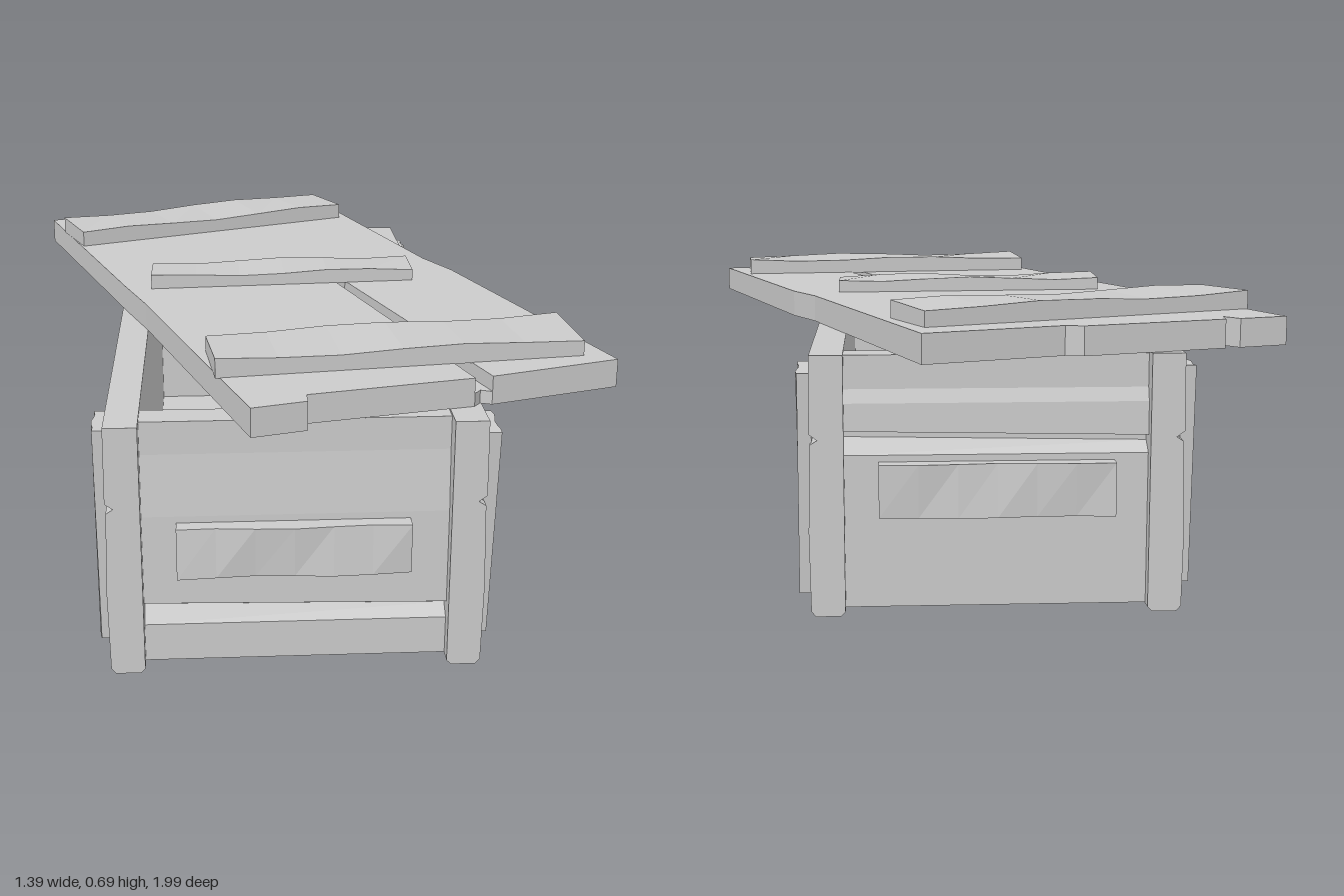
import * as THREE from 'three';

const mat = new THREE.MeshStandardMaterial({ color: 0xcccccc, flatShading: true });

function add(group, name, geo) {
  const mesh = new THREE.Mesh(geo, mat);
  mesh.name = name;
  group.add(mesh);
  return mesh;
}

const extrude = (pts, depth) => new THREE.ExtrudeGeometry(
  new THREE.Shape(pts.map(([x, y]) => new THREE.Vector2(x, y))),
  { depth, bevelEnabled: false });

// Horizontal slab from an [x, z] outline
const slab = (pts, y0, y1) => extrude(pts.map(([x, z]) => [x, -z]), y1 - y0)
  .rotateX(-Math.PI / 2).translate(0, y0, 0);

// Worn board on four base corners, counter-clockwise seen from outside
function board(corners, thickness, wear) {
  const [a, b, c, d] = corners.map(p => new THREE.Vector3(...p));
  const n = b.clone().sub(a).cross(d.clone().sub(a)).normalize();
  const geo = new THREE.BoxGeometry(1, 1, 1, 6, 1, 1);
  const pos = geo.attributes.position;
  for (let i = 0; i < pos.count; i++) {
    const u = pos.getX(i) + 0.5, v = pos.getY(i) + 0.5, w = pos.getZ(i) + 0.5;
    const dip = wear * (0.5 + 0.5 * Math.sin(u * 9 + v * 2 + a.x * 5));
    const p = a.clone().lerp(b, u).lerp(d.clone().lerp(c, u), v);
    p.addScaledVector(n, w * (thickness - dip));
    pos.setXYZ(i, p.x, p.y, p.z);
  }
  return geo;
}

export function createModel() {
  const model = new THREE.Group();
  model.name = 'crate';
  const box = new THREE.Group();
  box.name = 'box';
  const lid = new THREE.Group();
  lid.name = 'lid';
  model.add(box, lid);

  // Side walls: two planks with a V seam, slightly chamfered foot
  for (const s of [-1, 1]) {
    const profile = [[0.335, 0.58], [0.335, 0.01], [0.345, 0], [0.4, 0], [0.41, 0.012],
      [0.413, 0.19], [0.408, 0.385], [0.392, 0.395], [0.41, 0.408], [0.408, 0.58]];
    add(box, s > 0 ? 'leftWall' : 'rightWall',
      extrude(profile.map(([x, y]) => [s * x - 0.04, y]), 1.77).translate(0, 0, -0.85));
  }

  // End walls: planks with a seam that runs slightly downhill
  function endWall(name, s, z0, seam, light) {
    const profile = [[-0.085, 0.012], [0, 0.012], [0, seam - 0.035], [-0.03, seam - 0.005],
      [-0.03, seam + 0.01], [0.002, seam + 0.012], [0, light], [-0.012, 0.5], [-0.012, 0.575],
      [-0.085, 0.575]];
    const geo = extrude(profile.map(([z, y]) => [z0 + s * z, y]), 0.7)
      .rotateY(-Math.PI / 2).translate(0.31, 0, 0);
    const pos = geo.attributes.position;
    for (let i = 0; i < pos.count; i++) {
      if (Math.abs(pos.getY(i) - seam) < 0.03) {
        pos.setY(i, pos.getY(i) - s * 0.02 * (pos.getX(i) + 0.04));
      }
    }
    add(box, name, geo);
  }
  endWall('frontWall', 1, 0.885, 0.135, 0.36);
  endWall('backWall', -1, -0.82, 0.39, 0.47);

  // Floor
  add(box, 'floor', new THREE.BoxGeometry(0.69, 0.04, 1.62).translate(-0.04, 0.033, 0.035));

  // Grip blocks on both ends
  add(box, 'frontGrip', board([[-0.3, 0.23, 0.88], [0.21, 0.23, 0.88],
    [0.21, 0.345, 0.88], [-0.3, 0.345, 0.88]], 0.05, 0.012));
  add(box, 'backGrip', board([[0.22, 0.22, -0.815], [-0.3, 0.22, -0.815],
    [-0.3, 0.34, -0.815], [0.22, 0.34, -0.815]], 0.045, 0.012));

  // Crooked battens on the side walls, as [z, y] corners
  const battens = {
    leftFrontBatten: [0.365, [[0.865, 0.05], [0.745, 0.05], [0.79, 0.555], [0.91, 0.55]]],
    leftBackBatten: [0.365, [[-0.68, 0.05], [-0.8, 0.04], [-0.84, 0.54], [-0.72, 0.55]]],
    rightBackBatten: [-0.445, [[-0.79, 0.05], [-0.67, 0.04], [-0.71, 0.55], [-0.83, 0.55]]],
    rightFrontBatten: [-0.445, [[0.73, 0.04], [0.85, 0.05], [0.88, 0.56], [0.76, 0.56]]],
  };
  for (const [name, [x, c]] of Object.entries(battens)) {
    add(box, name, board(c.map(([z, y]) => [x, y, z]), 0.033, 0.006));
  }

  // Lid, lying askew: whole lower layer, upper layer with the split between planks
  const back = [[0.69, 0.72], [0.44, -0.07], [0.38, -0.2], [0.13, -1], [-0.18, -0.88],
    [-0.22, -0.89], [-0.55, -0.78], [-0.555, -0.73], [-0.585, -0.77], [-0.7, -0.73],
    [-0.44, 0.05], [-0.38, 0.22], [-0.14, 0.99], [-0.02, 0.955], [-0.02, 0.915]];
  add(lid, 'lidBase', slab([...back, [0.35, 0.83], [0.365, 0.81], [0.39, 0.82]], 0.58, 0.61));
  add(lid, 'lidPlanks', slab([...back, [0.35, 0.83], [0.115, 0.04], [0.14, 0.03],
    [0.39, 0.82]], 0.61, 0.645));

  // Cleats across the lid, as [x, z] corners
  const cleats = {
    frontCleat: [0.046, [[-0.21, 0.8], [0.62, 0.69], [0.6, 0.49], [-0.23, 0.61]]],
    middleCleat: [0.038, [[-0.37, 0.08], [0.32, 0.03], [0.32, -0.11], [-0.37, -0.06]]],
    backCleat: [0.046, [[-0.58, -0.39], [0.19, -0.72], [0.12, -0.9], [-0.65, -0.57]]],
  };
  for (const [name, [h, c]] of Object.entries(cleats)) {
    add(lid, name, board(c.map(([x, z]) => [x, 0.644, z]), h, 0.01));
  }
  return model;
}
